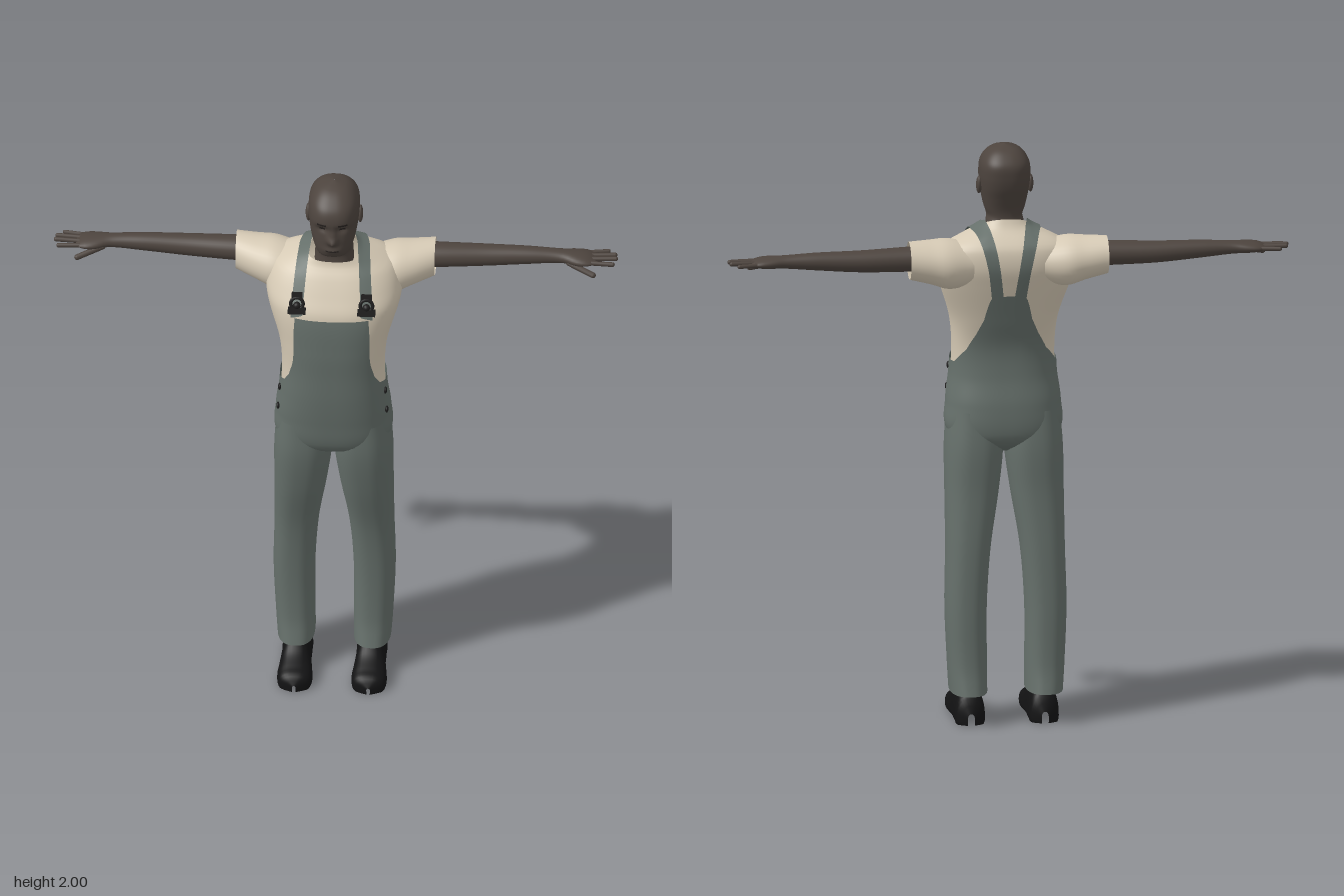
import * as THREE from 'three';

const mat = (name, color, side = THREE.FrontSide) => {
  const m = new THREE.MeshStandardMaterial({ color, side });
  m.name = name;
  return m;
};

// Smooth interpolation of a table whose rows start with an ascending key
function at(table, key) {
  const n = table.length;
  const k = Math.min(Math.max(key, table[0][0]), table[n - 1][0]);
  let i = 0;
  while (i < n - 2 && k > table[i + 1][0]) i++;
  const slope = (j, c) => {
    const a = table[Math.max(j - 1, 0)], b = table[Math.min(j + 1, n - 1)];
    return (b[c] - a[c]) / (b[0] - a[0]);
  };
  const p = table[i], q = table[i + 1], h = q[0] - p[0], t = (k - p[0]) / h;
  return p.map((v, c) => c === 0 ? k :
    v * (1 + 2 * t) * (1 - t) ** 2 + q[c] * t * t * (3 - 2 * t)
    + h * (slope(i, c) * t * (1 - t) ** 2 - slope(i + 1, c) * t * t * (1 - t)));
}

// Grid surface from f(u, v); outside is the side of u x v
function grid(nu, nv, f, wrap = true) {
  const pos = [], idx = [], cols = wrap ? nu : nu + 1;
  for (let j = 0; j <= nv; j++)
    for (let i = 0; i < cols; i++) pos.push(...f(i / nu, j / nv));
  for (let j = 0; j < nv; j++)
    for (let i = 0; i < nu; i++) {
      const a = j * cols + i, b = j * cols + (i + 1) % cols;
      idx.push(a, b, a + cols, b, b + cols, a + cols);
    }
  const g = new THREE.BufferGeometry();
  g.setAttribute('position', new THREE.Float32BufferAttribute(pos, 3));
  g.setIndex(idx);
  g.computeVertexNormals();
  return g;
}

function mirrored(geo) {
  const g = geo.clone().scale(-1, 1, 1), a = g.index.array;
  for (let i = 0; i < a.length; i += 3) [a[i], a[i + 1]] = [a[i + 1], a[i]];
  return g;
}

// Rounded cross-section point; t is the angle from the front toward +x
const P = 0.8;
const pw = (v) => Math.sign(v) * Math.abs(v) ** P;
function surf(table, t, y, off = 0) {
  const [, w, zc, zf, zb, cx = 0] = at(table, y);
  const c = pw(Math.cos(t));
  return [cx + (w + off) * pw(Math.sin(t)), y, zc + c * (c > 0 ? zf - zc + off : zc - zb + off)];
}

// Rows: height, half width, z of widest point, front z, back z
const TORSO = [
  [0.93, 0.03, 0.02, 0.05, -0.02], [0.96, 0.12, 0.02, 0.11, -0.075], [1.0, 0.185, 0.02, 0.145, -0.1],
  [1.1, 0.188, 0.03, 0.16, -0.1], [1.2, 0.176, 0.04, 0.168, -0.082], [1.3, 0.173, 0.03, 0.169, -0.08],
  [1.4, 0.184, 0.02, 0.17, -0.108], [1.54, 0.225, -0.02, 0.158, -0.15], [1.6, 0.228, -0.045, 0.125, -0.163],
  [1.66, 0.205, -0.065, 0.085, -0.155], [1.69, 0.155, -0.06, 0.058, -0.132],
  [1.72, 0.088, -0.03, 0.052, -0.1], [1.75, 0.066, -0.015, 0.046, -0.082],
];
const HEAD = [
  [1.68, 0.066, -0.015, 0.04, -0.072], [1.735, 0.063, -0.015, 0.045, -0.074], [1.755, 0.06, 0, 0.092, -0.072],
  [1.78, 0.068, 0, 0.106, -0.076], [1.82, 0.077, 0, 0.108, -0.09], [1.86, 0.083, -0.005, 0.106, -0.105],
  [1.9, 0.086, -0.01, 0.112, -0.112], [1.94, 0.082, -0.015, 0.1, -0.11], [1.97, 0.065, -0.015, 0.07, -0.088],
  [1.99, 0.038, -0.015, 0.034, -0.058], [2.0, 0.002, -0.015, -0.013, -0.017],
];
const LEG = [
  [0.11, 0.063, -0.04, 0.068, -0.158, 0.128], [0.2, 0.066, -0.04, 0.05, -0.14, 0.131],
  [0.4, 0.07, -0.035, 0.05, -0.13, 0.135], [0.6, 0.075, -0.025, 0.07, -0.12, 0.126],
  [0.8, 0.09, 0, 0.12, -0.107, 0.11], [0.95, 0.098, 0.02, 0.145, -0.105, 0.101], [1.08, 0.09, 0.03, 0.145, -0.09, 0.098],
];
// Along x: centre y, half height, centre z, half depth
const SLEEVE = [
  [0.12, 1.6, 0.07, -0.07, 0.085], [0.2, 1.605, 0.085, -0.08, 0.1], [0.26, 1.615, 0.075, -0.09, 0.088],
  [0.335, 1.627, 0.064, -0.108, 0.067],
];
const ARM = [
  [0.25, 1.633, 0.044, -0.11, 0.048], [0.34, 1.633, 0.042, -0.11, 0.046], [0.5, 1.633, 0.037, -0.117, 0.039],
  [0.65, 1.638, 0.03, -0.118, 0.032], [0.76, 1.64, 0.022, -0.117, 0.029], [0.81, 1.639, 0.02, -0.112, 0.043],
  [0.85, 1.638, 0.015, -0.111, 0.044], [0.875, 1.637, 0.004, -0.111, 0.03],
];
// Along z: half width, height
const SHOE = [
  [-0.118, 0.012, 0.04], [-0.1, 0.045, 0.09], [-0.04, 0.05, 0.125], [0.03, 0.05, 0.125], [0.08, 0.056, 0.088],
  [0.13, 0.059, 0.066], [0.165, 0.046, 0.052], [0.182, 0.006, 0.025],
];
// Upper edge of the overalls: degrees from the front, height
const EDGE = [
  [0, 1.535], [27.5, 1.535], [30, 1.5], [34, 1.45], [41, 1.35], [50, 1.29], [61, 1.255], [80, 1.24], [110, 1.245],
  [135, 1.295], [150, 1.355], [160, 1.41], [167, 1.48], [170, 1.5], [180, 1.5],
];
function edgeHeight(t) {
  const d = Math.min(t, 2 * Math.PI - t) * 180 / Math.PI;
  const i = Math.min(EDGE.findIndex((e, k) => k > 0 && d <= e[0] + 1e-6), EDGE.length - 1);
  const [a, b] = [EDGE[Math.max(i, 1) - 1], EDGE[Math.max(i, 1)]];
  return a[1] + (b[1] - a[1]) * (d - a[0]) / (b[0] - a[0]);
}

// Head surface with nose, lips and eye sockets
function headPoint(t, y, off = 0) {
  const p = surf(HEAD, t, y, off);
  const bump = (x0, y0, sx, sy) => Math.exp(-(((Math.abs(p[0]) - x0) / sx) ** 2) - ((y - y0) / sy) ** 2);
  if (Math.cos(t) > 0) p[2] += 0.027 * bump(0, 1.832, 0.014, 0.016) + 0.014 * bump(0, 1.858, 0.011, 0.02)
    + 0.007 * bump(0, 1.79, 0.025, 0.012) - 0.012 * bump(0.033, 1.874, 0.018, 0.013);
  return p;
}

// Point on the shirt at side offset x, a drop d below the shoulder line
function shoulderPoint(x, d, front) {
  let lo = 1.62, hi = 1.74;
  for (let i = 0; i < 24; i++) {
    const m = (lo + hi) / 2;
    if (at(TORSO, m)[1] > x) lo = m; else hi = m;
  }
  const y = lo - d, w = at(TORSO, y)[1];
  const t = Math.asin(Math.min(1, (x / w) ** (1 / P)));
  const p = surf(TORSO, front ? t : Math.PI - t, y);
  return [p[0], y + 0.007, p[2] + (front ? 0.009 : -0.009) * Math.min(1, d * 30)];
}

export function createModel() {
  const root = new THREE.Group();
  const skin = mat('dark skin', 0x4d443e);
  const shirt = mat('cream cotton', 0xd6cab5, THREE.DoubleSide);
  const denim = mat('grey denim', 0x66706b, THREE.DoubleSide);
  const shoeBlack = mat('shoe black', 0x131314);
  const metal = mat('dark metal', 0x1e1d1d);
  const hair = mat('dark hair', 0x272220, THREE.DoubleSide);
  const add = (name, geo, m) => {
    const mesh = new THREE.Mesh(geo, m);
    mesh.name = name;
    root.add(mesh);
  };
  const pair = (name, geo, m) => {
    add(name + 'Left', geo, m);
    add(name + 'Right', mirrored(geo), m);
  };
  const TAU = Math.PI * 2, rad = Math.PI / 180;

  // Head and face
  add('head', grid(64, 60, (u, v) => headPoint(u * TAU, 1.68 + 0.32 * v)), skin);
  const facePatch = (t0, t1, y0, y1) => grid(12, 3, (u, v) =>
    headPoint((t0 + (t1 - t0) * u) * rad, y0 + (y1 - y0) * v, 0.002), false);
  pair('eyebrow', facePatch(9, 31, 1.892, 1.899), hair);
  pair('eye', facePatch(12, 25, 1.871, 1.879), hair);
  add('mouth', facePatch(-13, 13, 1.789, 1.794), hair);
  pair('ear', new THREE.SphereGeometry(1, 16, 12).scale(0.01, 0.032, 0.019).rotateX(-0.2).translate(0.087, 1.86, -0.018), skin);

  // Shirt body with a neckline that dips at the front
  add('shirtBody', grid(96, 50, (u, v) => {
    const t = u * TAU, top = 1.728 - 0.024 * Math.cos(t);
    return surf(TORSO, t, 1.15 + (top - 1.15) * v);
  }), shirt);

  // Sleeves, arms and palms
  const limb = (table, nv) => grid(32, nv, (u, v) => {
    const x0 = table[0][0], x1 = table[table.length - 1][0];
    const [x, cy, ry, cz, rz] = at(table, x0 + (x1 - x0) * v), a = u * TAU;
    return [x, cy + ry * Math.cos(a), cz + rz * Math.sin(a)];
  });
  pair('sleeve', limb(SLEEVE, 14), shirt);
  pair('arm', limb(ARM, 40), skin);

  // Fingers and thumb: start, end, radius
  [
    ['littleFinger', [0.84, 1.638, -0.143], [0.915, 1.638, -0.155], 0.007],
    ['ringFinger', [0.85, 1.64, -0.124], [0.938, 1.641, -0.13], 0.008],
    ['middleFinger', [0.85, 1.64, -0.103], [0.942, 1.642, -0.107], 0.008],
    ['indexFinger', [0.85, 1.638, -0.083], [0.932, 1.636, -0.081], 0.008],
    ['thumb', [0.785, 1.63, -0.09], [0.868, 1.608, -0.055], 0.01],
  ].forEach(([name, a, b, r]) => {
    const p = new THREE.Vector3(...a), q = new THREE.Vector3(...b), d = q.clone().sub(p);
    const geo = new THREE.CapsuleGeometry(r, d.length(), 4, 10);
    geo.applyQuaternion(new THREE.Quaternion().setFromUnitVectors(new THREE.Vector3(0, 1, 0), d.normalize()));
    const c = p.add(q).multiplyScalar(0.5);
    pair(name, geo.translate(c.x, c.y, c.z), skin);
  });

  // Overalls: bib, waist and back in one shell, then the trouser legs
  add('overallsBody', grid(144, 44, (u, v) => {
    const t = u * TAU;
    return surf(TORSO, t, 0.93 + (edgeHeight(t) - 0.93) * v, 0.006);
  }), denim);
  pair('trouserLeg', grid(48, 40, (u, v) => surf(LEG, u * TAU, 0.11 + 0.97 * v)), denim);

  // Straps over the shoulders, converging on the back
  pair('strap', grid(4, 48, (u, v) => {
    const s = 1 - 2 * v, front = s >= 0, k = Math.abs(s);
    const x = 0.098 + (front ? 0.02 * k : -0.06 * k) + (u - 0.5) * 0.04;
    return shoulderPoint(x, (front ? 0.17 : 0.26) * s * s, front);
  }, false), denim);

  // Strap buckles
  const buckleZ = shoulderPoint(0.117, 0.125, true)[2] + 0.006;
  const tilt = (geo, y) => geo.rotateX(-0.3).translate(0.117, y, buckleZ + (1.585 - y) * 0.4);
  pair('buckleBar', tilt(new THREE.BoxGeometry(0.06, 0.022, 0.014), 1.565), metal);
  pair('buckleRing', tilt(new THREE.TorusGeometry(0.021, 0.006, 8, 20), 1.588), metal);
  pair('buckleClip', tilt(new THREE.BoxGeometry(0.036, 0.022, 0.012), 1.614), metal);
  pair('bibButton', tilt(new THREE.SphereGeometry(0.013, 14, 10), 1.582), metal);

  // Hip buttons
  [[74, 1.205], [69, 1.13]].forEach(([deg, y], i) => {
    const [x, , z] = surf(TORSO, deg * rad, y, 0.008);
    pair('hipButton' + (i + 1), new THREE.SphereGeometry(0.012, 14, 10).scale(0.5, 1, 1).translate(x, y, z), metal);
  });

  // Shoes with flat soles
  pair('shoe', grid(32, 36, (u, v) => {
    const [z, w, h] = at(SHOE, -0.118 + 0.3 * v), a = u * TAU, s = Math.sin(a);
    return [0.125 + w * pw(Math.cos(a)), s > 0 ? 0.018 + (h - 0.018) * pw(s) : 0.018 * (1 - Math.min(1, -3 * s)), z];
  }), shoeBlack);

  return root;
}
